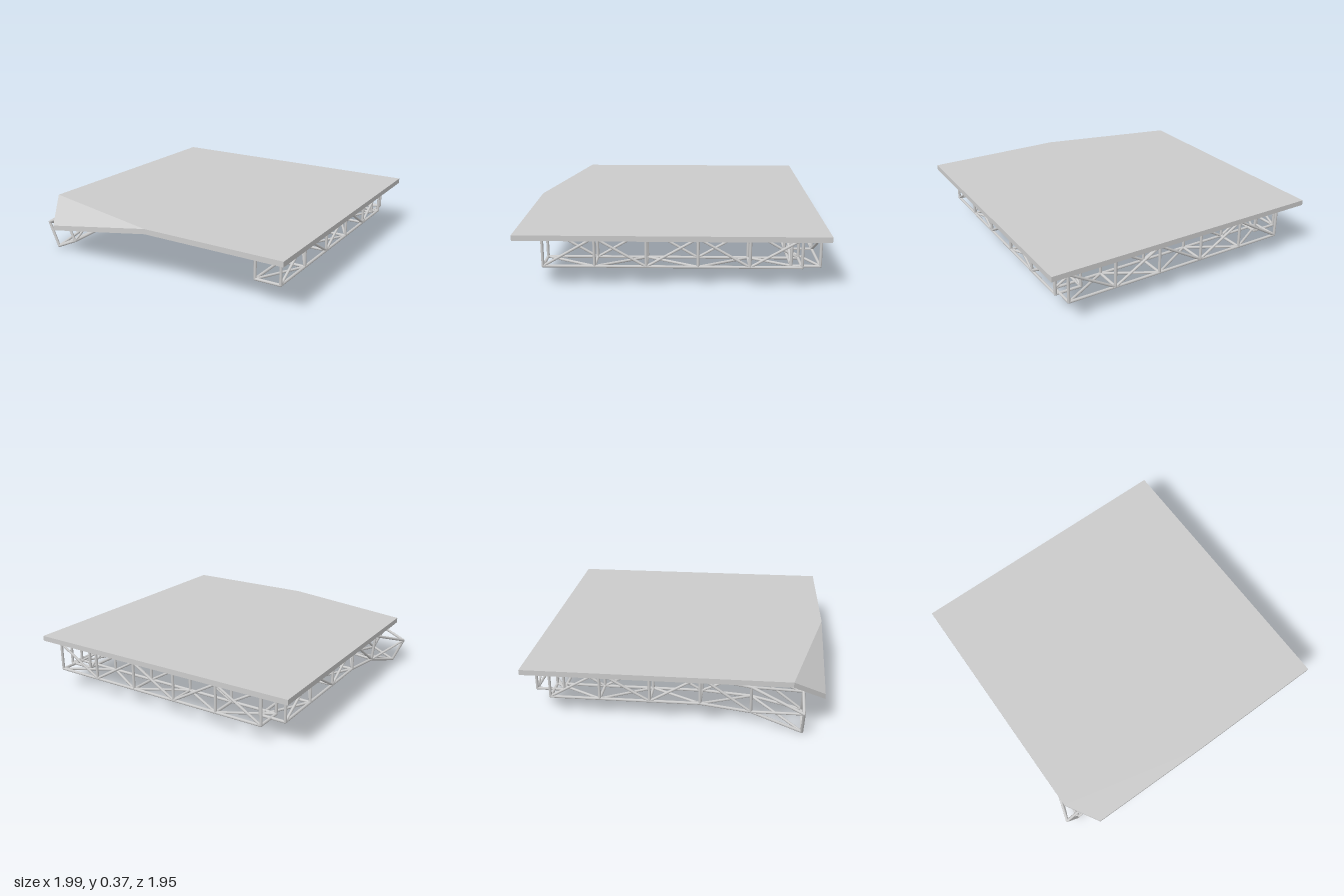
import * as THREE from 'three';
import { mergeGeometries } from 'three/addons/utils/BufferGeometryUtils.js';

const grey = new THREE.MeshStandardMaterial({ color: 0xcccccc });
const V = (x, y, z) => new THREE.Vector3(x, y, z);
const RADIUS = 0.0095;

// Round bar between two points
function bar(a, b, r) {
  const dir = b.clone().sub(a);
  const g = new THREE.CylinderGeometry(r, r, dir.length(), 10);
  g.applyQuaternion(new THREE.Quaternion().setFromUnitVectors(V(0, 1, 0), dir.normalize()));
  return g.translate(...a.clone().add(b).multiplyScalar(0.5).toArray());
}

// Box truss: place(i, u, v) gives the joint of station i at section corner u, v (0 or 1)
function truss(name, bays, place) {
  const parts = [];
  const corners = [[0, 0], [1, 0], [1, 1], [0, 1]];
  const section = (i) => corners.map(([u, v]) => place(i, u, v));
  for (let i = 0; i <= bays; i++) {
    const s = section(i);
    // Cross frame with rounded joints
    s.forEach((p, k) => {
      parts.push(bar(p, s[(k + 1) % 4], RADIUS));
      parts.push(new THREE.SphereGeometry(RADIUS, 10, 8).translate(p.x, p.y, p.z));
    });
    if (i === bays) break;
    // Chords, and one diagonal on each face, zigzagging along the truss
    const n = section(i + 1);
    s.forEach((p, k) => {
      const j = (k + 1) % 4;
      parts.push(bar(p, n[k], RADIUS));
      parts.push(i % 2 ? bar(s[j], n[k], RADIUS * 0.9) : bar(p, n[j], RADIUS * 0.9));
    });
  }
  const mesh = new THREE.Mesh(mergeGeometries(parts), grey);
  mesh.name = name;
  return mesh;
}

// Flat deck with one corner folded down
function deck() {
  const top = 0.375, thick = 0.035;
  const outline = [
    V(1, top, 0.97), V(1, top, -0.975), V(-0.945, top, -0.975),
    V(-0.945, top, 0.735), V(-0.805, 0.23, 0.945), V(0.02, top, 0.97),
  ];
  const low = outline.map((p) => V(p.x, p.y - thick, p.z));
  const pts = [];
  for (const [a, b, c] of [[0, 1, 2], [0, 2, 3], [0, 3, 5], [5, 3, 4]]) {
    pts.push(outline[a], outline[b], outline[c], low[a], low[c], low[b]);
  }
  outline.forEach((p, k) => {
    const j = (k + 1) % outline.length;
    pts.push(p, low[k], low[j], p, low[j], outline[j]);
  });
  const g = new THREE.BufferGeometry().setFromPoints(pts);
  g.computeVertexNormals();
  const mesh = new THREE.Mesh(g, grey);
  mesh.name = 'deck';
  return mesh;
}

export function createModel() {
  const group = new THREE.Group();
  const bays = 5, step = 0.324, y0 = 0.142, height = 0.188, width = 0.174;
  const zAt = (i) => 0.805 - i * step;

  group.add(deck());

  // Straight trusses along one side and the back
  group.add(truss('leftTruss', bays, (i, u, v) => V(0.727 + u * width, y0 + v * height, zAt(i))));
  group.add(truss('backTruss', bays, (i, u, v) => V(0.873 - i * step, y0 + v * height, -0.932 + u * 0.182)));

  // Side truss whose front end sags and twists under the folded corner
  group.add(truss('bentTruss', bays, (i, u, v) => {
    const bend = Math.max(0, 1 - i / 2) ** 2;
    const angle = THREE.MathUtils.degToRad(24) * bend;
    const p = V(u * width, v * height, 0).applyAxisAngle(V(0, 0, 1), angle);
    return p.add(V(-0.846 - 0.062 * bend, y0 - 0.132 * bend, zAt(i)));
  }));

  return group;
}
